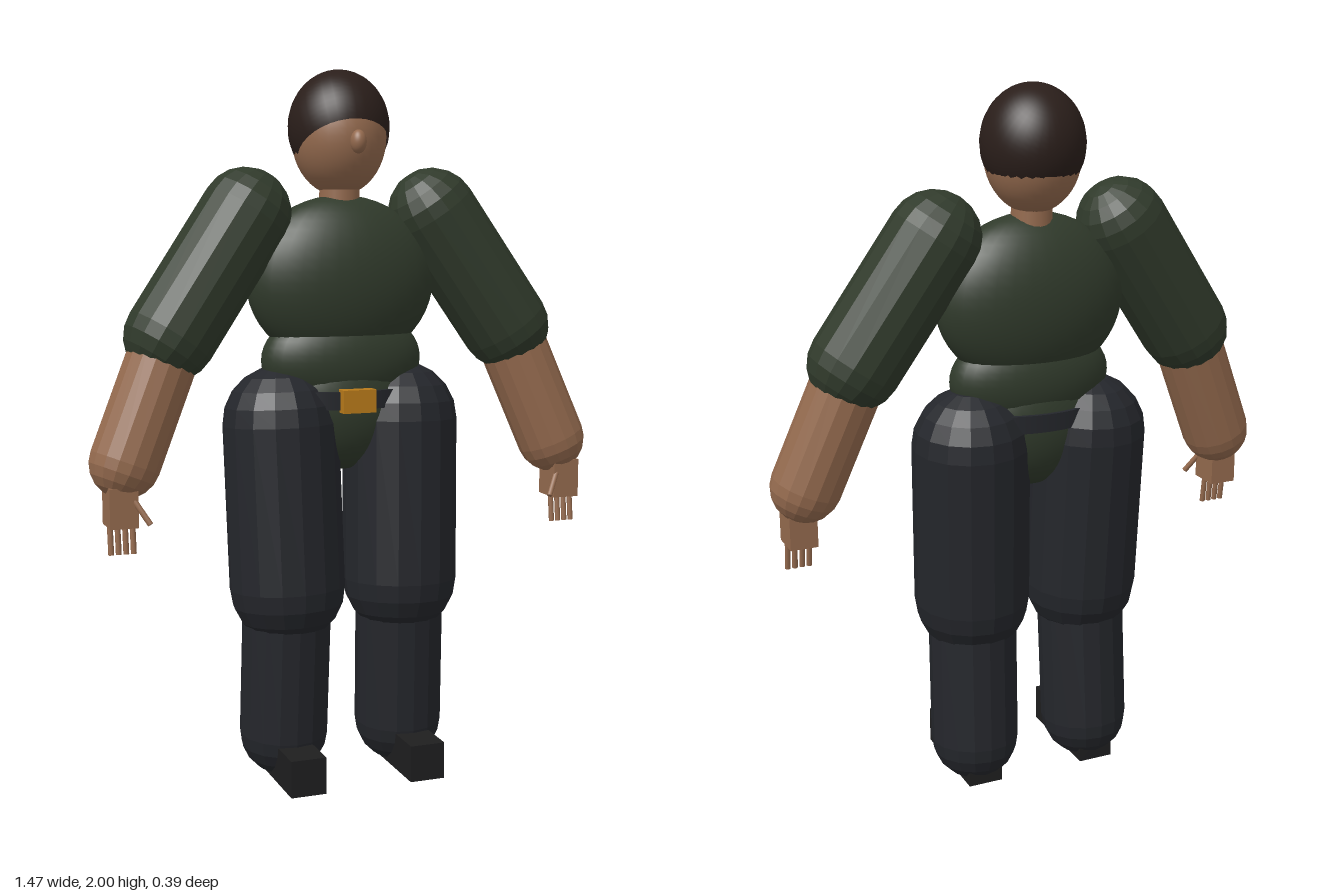
import * as THREE from 'three';

const mat = (color, flatShading = false) => new THREE.MeshStandardMaterial({ color, flatShading });
const SKIN = 0x946a4e, SHIRT = 0x303a2b, PANTS = 0x24262b, HAIR = 0x2a1e1a, SHOE = 0x1e1e1f, GOLD = 0xb87a1a;
const v = (x, y, z) => new THREE.Vector3(x, y, z);

function add(parent, name, geometry, material) {
  const mesh = new THREE.Mesh(geometry, material);
  mesh.name = name;
  parent.add(mesh);
  return mesh;
}

function ellipsoid(parent, name, pos, radii, color) {
  const mesh = add(parent, name, new THREE.SphereGeometry(1, 32, 24), mat(color));
  mesh.position.set(...pos);
  mesh.scale.set(...radii);
  return mesh;
}

function box(parent, name, size, pos, color) {
  const mesh = add(parent, name, new THREE.BoxGeometry(...size), mat(color));
  mesh.position.set(...pos);
  return mesh;
}

// Places a geometry built along y so that it runs from a to b
function align(mesh, a, b) {
  mesh.position.copy(a).add(b).multiplyScalar(0.5);
  mesh.quaternion.setFromUnitVectors(v(0, 1, 0), a.clone().sub(b).normalize());
  return mesh;
}

// Low-poly capsule whose round ends are centred on a and b
function limb(parent, name, a, b, r, color) {
  const geometry = new THREE.CapsuleGeometry(r, a.distanceTo(b), 5, 16);
  return align(add(parent, name, geometry, mat(color, true)), a, b);
}

function digit(parent, name, a, b, r) {
  const geometry = new THREE.CylinderGeometry(r, r, a.distanceTo(b), 8);
  return align(add(parent, name, geometry, mat(SKIN)), a, b);
}

function makeArm(s) {
  const arm = new THREE.Group();
  const shoulder = v(s * 0.277, 1.607, -0.03), elbow = v(s * 0.5, 1.28, -0.005), wrist = v(s * 0.638, 0.947, 0.028);
  limb(arm, 'upperArm', shoulder, elbow, 0.127, SHIRT);
  limb(arm, 'forearm', elbow, wrist, 0.098, SKIN);
  box(arm, 'palm', [0.078, 0.11, 0.095], [s * 0.657, 0.835, 0.048], SKIN);
  for (let i = 0; i < 4; i++) {
    const x = s * (0.627 + i * 0.0205);
    digit(arm, 'finger', v(x, 0.79, 0.055), v(x, 0.705, 0.066), 0.008);
  }
  digit(arm, 'thumb', v(s * 0.632, 0.86, 0.085), v(s * 0.592, 0.792, 0.118), 0.008);
  return arm;
}

function makeLeg(s) {
  const leg = new THREE.Group();
  const hip = v(s * 0.18, 1.023, -0.03), knee = v(s * 0.171, 0.56, -0.005), ankle = v(s * 0.177, 0.13, -0.029);
  limb(leg, 'thigh', hip, knee, 0.164, PANTS);
  limb(leg, 'shin', knee, ankle, 0.126, PANTS);
  box(leg, 'shoe', [0.102, 0.105, 0.313], [s * 0.178, 0.064, 0.043], SHOE);
  return leg;
}

export function createModel() {
  const model = new THREE.Group();
  model.name = 'figure';

  // Torso
  ellipsoid(model, 'chest', [0, 1.42, -0.03], [0.275, 0.237, 0.136], SHIRT);
  ellipsoid(model, 'belly', [0, 1.2, -0.025], [0.235, 0.15, 0.115], SHIRT);
  ellipsoid(model, 'pelvis', [0, 1.07, -0.025], [0.2, 0.185, 0.12], SHIRT);

  // Belt and buckle
  const belt = add(model, 'belt', new THREE.CylinderGeometry(1, 1, 0.05, 32), mat(PANTS));
  belt.position.set(0, 1.095, -0.025);
  belt.scale.set(0.21, 1, 0.127);
  box(model, 'buckle', [0.096, 0.064, 0.04], [0, 1.095, 0.105], GOLD);

  // Neck and head
  const neck = add(model, 'neck', new THREE.CylinderGeometry(0.055, 0.058, 0.14, 20), mat(SKIN));
  neck.position.set(0, 1.66, -0.04);
  ellipsoid(model, 'head', [0, 1.815, -0.045], [0.131, 0.16, 0.139], SKIN);
  ellipsoid(model, 'nose', [0, 1.8, 0.11], [0.022, 0.032, 0.024], SKIN);

  // Cap of hair, tilted up over the forehead
  const capGeometry = new THREE.SphereGeometry(1, 32, 20, 0, Math.PI * 2, 0, Math.PI * 0.645);
  capGeometry.rotateX(-0.58).scale(0.141, 0.158, 0.148);
  const hair = add(model, 'hair', capGeometry, mat(HAIR));
  hair.material.side = THREE.DoubleSide;
  hair.position.set(0, 1.842, -0.047);

  // Mirrored limbs
  for (const s of [1, -1]) {
    const side = s > 0 ? 'left' : 'right';
    const arm = makeArm(s), leg = makeLeg(s);
    arm.name = side + 'Arm';
    leg.name = side + 'Leg';
    model.add(arm, leg);
  }
  return model;
}
